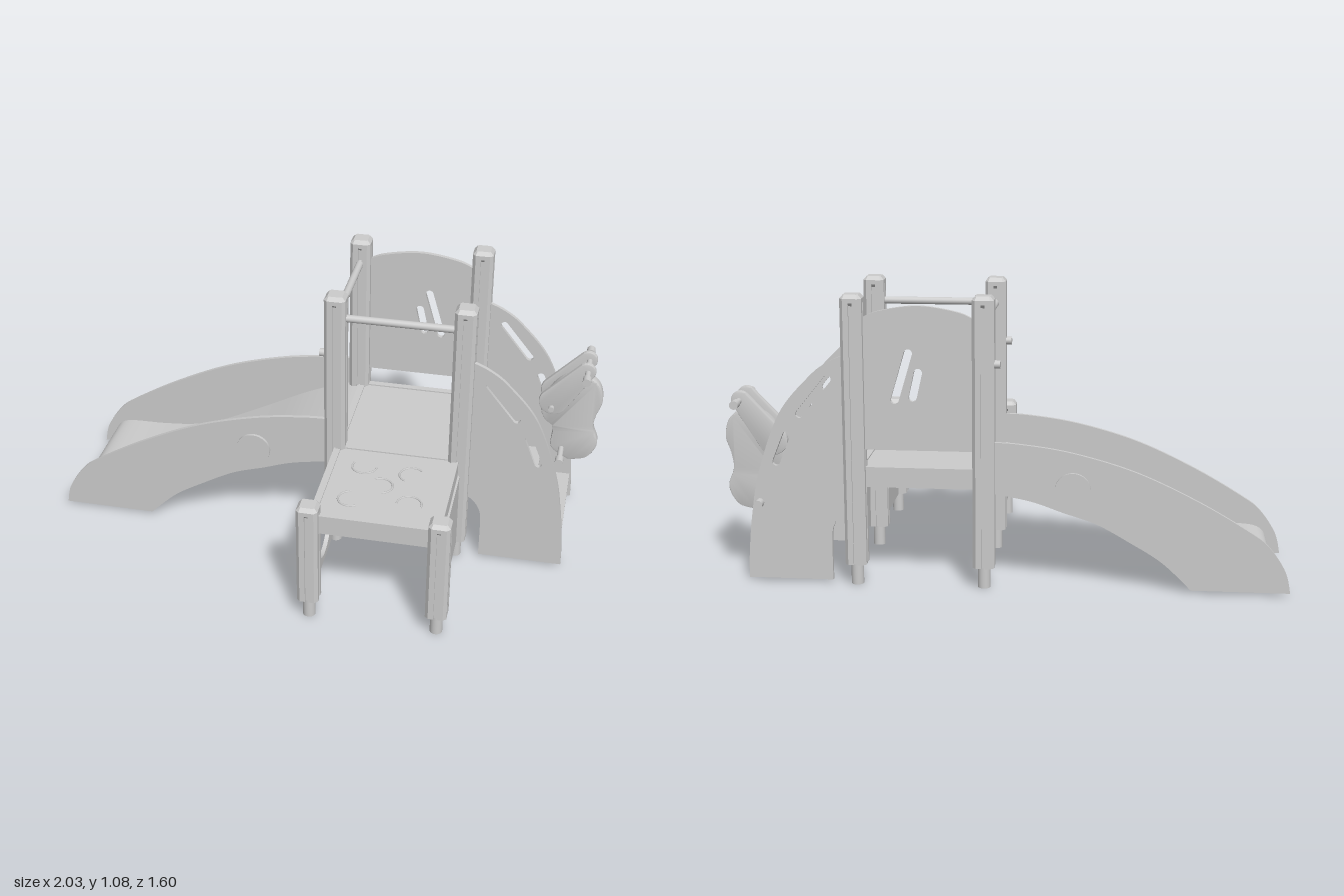
import * as THREE from 'three';
import { toCreasedNormals } from 'three/addons/utils/BufferGeometryUtils.js';

const mat = new THREE.MeshStandardMaterial({ color: 0xcccccc });
const H = 0.234; // half of the post spacing
const V = (p) => new THREE.Vector2(p[0], p[1]);

function add(parent, name, geo, x = 0, y = 0, z = 0) {
  const m = new THREE.Mesh(geo, mat);
  m.name = name;
  m.position.set(x, y, z);
  parent.add(m);
  return m;
}
const box = (p, name, w, h, d, x, y, z) => add(p, name, new THREE.BoxGeometry(w, h, d), x, y, z);

// Flat board in the XY plane, centred on its thickness
function board(shape, t, bevel = 0) {
  const g = new THREE.ExtrudeGeometry(shape, {
    depth: t - 2 * bevel, bevelEnabled: bevel > 0, bevelSize: bevel, bevelThickness: bevel,
    bevelOffset: -bevel, bevelSegments: 2, curveSegments: 20,
  });
  g.translate(0, 0, -t / 2 + bevel);
  return toCreasedNormals(g, 0.6);
}

// Capsule outline between two points, used for slots and arms
function capsule(Type, x1, y1, r1, x2, y2, r2 = r1) {
  const a = Math.atan2(y2 - y1, x2 - x1), q = Math.PI / 2;
  const s = new Type();
  s.absarc(x2, y2, r2, a - q, a + q);
  s.absarc(x1, y1, r1, a + q, a + 3 * q);
  s.closePath();
  return s;
}

// Round bar between two points
function bar(parent, name, a, b, r) {
  const A = new THREE.Vector3(...a), B = new THREE.Vector3(...b), d = B.clone().sub(A);
  const m = add(parent, name, new THREE.CylinderGeometry(r, r, d.length(), 16));
  m.position.copy(A).add(B).multiplyScalar(0.5);
  m.quaternion.setFromUnitVectors(new THREE.Vector3(0, 1, 0), d.normalize());
}

// Square post with chamfered corners, grooved faces, bevelled cap and round foot
function post(parent, x, z, top) {
  const g = new THREE.Group();
  g.name = 'post';
  g.position.set(x, 0, z);
  const s = 0.039, c = 0.012, w = 0.007, d = 0.009, pts = [];
  for (let i = 0; i < 4; i++) {
    for (const p of [[s, -s + c], [s, -w], [s - d, -w], [s - d, w], [s, w], [s, s - c]]) {
      pts.push(V(p).rotateAround(new THREE.Vector2(), i * Math.PI / 2));
    }
  }
  const shaft = new THREE.ExtrudeGeometry(new THREE.Shape(pts), { depth: top - 0.11, bevelEnabled: false });
  shaft.rotateX(-Math.PI / 2);
  add(g, 'postShaft', shaft, 0, 0.08, 0);
  const capShape = new THREE.Shape([[s, -s + c], [s, s - c], [s - c, s], [c - s, s], [-s, s - c], [-s, c - s], [c - s, -s], [s - c, -s]].map(V));
  const cap = new THREE.ExtrudeGeometry(capShape, { depth: 0.016, bevelSize: 0.012, bevelThickness: 0.014, bevelOffset: -0.012, bevelSegments: 1 });
  cap.rotateX(-Math.PI / 2);
  add(g, 'postCap', cap, 0, top - 0.03, 0);
  add(g, 'postFoot', new THREE.CylinderGeometry(0.023, 0.023, 0.1, 20), 0, 0.05, 0);
  parent.add(g);
}

// Deck with beams on its four sides
function deck(parent, cz) {
  const g = new THREE.Group();
  g.name = 'deck';
  g.position.z = cz;
  box(g, 'deckFloor', 0.44, 0.025, 0.44, 0, 0.425, 0);
  for (const s of [-1, 1]) {
    box(g, 'deckBeam', 0.4, 0.075, 0.025, 0, 0.405, s * 0.222);
    box(g, 'deckBeam', 0.025, 0.075, 0.4, s * 0.222, 0.405, 0);
  }
  parent.add(g);
}

function slide(parent) {
  const g = new THREE.Group();
  g.name = 'slide';
  // Curved side panels with a round cover disc
  const s = new THREE.Shape();
  s.moveTo(-0.985, 0.01);
  s.lineTo(-1.34, 0.01);
  s.splineThru([[-1.32, 0.09], [-1.26, 0.18], [-1.19, 0.235], [-1, 0.345], [-0.777, 0.447], [-0.55, 0.512], [-0.36, 0.54], [-0.235, 0.545]].map(V));
  s.lineTo(-0.235, 0.36);
  s.splineThru([[-0.4, 0.33], [-0.52, 0.29], [-0.64, 0.25], [-0.76, 0.185], [-0.88, 0.11], [-0.985, 0.01]].map(V));
  const side = board(s, 0.014);
  const disc = new THREE.CylinderGeometry(0.065, 0.065, 0.012, 32).rotateX(Math.PI / 2);
  for (const k of [-1, 1]) {
    add(g, 'slideSide', side, 0, 0, k * 0.23);
    add(g, 'slideDisc', disc, -0.555, 0.375, k * 0.242);
  }
  // Bed: a curve thickened along its normals
  const curve = new THREE.SplineCurve([[-0.22, 0.437], [-0.3, 0.425], [-0.45, 0.365], [-0.6, 0.288], [-0.75, 0.212], [-0.85, 0.168], [-0.95, 0.142], [-1.08, 0.13], [-1.22, 0.125], [-1.272, 0.1], [-1.288, 0.055]].map(V));
  const top = [], under = [];
  for (let i = 0; i <= 50; i++) {
    const p = curve.getPoint(i / 50), t = curve.getTangent(i / 50);
    top.push(p);
    under.unshift(new THREE.Vector2(p.x - t.y * 0.012, p.y + t.x * 0.012));
  }
  add(g, 'slideBed', board(new THREE.Shape([...top, ...under]), 0.45));
  parent.add(g);
}

function stairs(parent) {
  const g = new THREE.Group();
  g.name = 'stairs';
  // Arched side panels with slots
  const s = new THREE.Shape();
  s.moveTo(0.325, 0.01);
  s.lineTo(0.64, 0.01);
  s.splineThru([[0.637, 0.1], [0.622, 0.25], [0.59, 0.42], [0.51, 0.635], [0.4, 0.77], [0.33, 0.825], [0.265, 0.855]].map(V));
  s.lineTo(0.25, 0.855);
  s.lineTo(0.25, 0.28);
  s.splineThru([[0.285, 0.265], [0.315, 0.225], [0.325, 0.17], [0.325, 0.01]].map(V));
  s.holes.push(capsule(THREE.Path, 0.33, 0.765, 0.014, 0.435, 0.635), capsule(THREE.Path, 0.485, 0.555, 0.014, 0.525, 0.455));
  const side = board(s, 0.016);
  for (const k of [-1, 1]) add(g, 'stairSide', side, 0, 0, k * 0.23);
  // Treads
  for (const [x0, x1, y] of [[0.45, 0.63, 0.11], [0.35, 0.51, 0.22], [0.24, 0.39, 0.33]]) {
    box(g, 'stairTread', x1 - x0, 0.014, 0.445, (x0 + x1) / 2, y, 0);
  }
  parent.add(g);
}

// Wavy play figure with two arms, a handlebar and foot pegs
function rider(parent) {
  const g = new THREE.Group();
  g.name = 'playFigure';
  g.position.z = -0.145;
  const s = new THREE.Shape();
  s.moveTo(0.62, 0.25);
  s.splineThru([[0.69, 0.27], [0.725, 0.335], [0.705, 0.405], [0.71, 0.46], [0.73, 0.53], [0.71, 0.6], [0.65, 0.635], [0.58, 0.615],
    [0.53, 0.56], [0.5, 0.48], [0.515, 0.425], [0.55, 0.39], [0.55, 0.3], [0.62, 0.25]].map(V));
  add(g, 'figureBody', board(s, 0.045, 0.006));
  const arm = board(capsule(THREE.Shape, 0.545, 0.525, 0.055, 0.66, 0.672, 0.035), 0.02, 0.004);
  for (const k of [-1, 1]) add(g, 'figureArm', arm, 0, 0, k * 0.045);
  bar(g, 'handlebar', [0.665, 0.67, -0.125], [0.665, 0.67, 0.125], 0.011);
  bar(g, 'footPeg', [0.59, 0.3, -0.125], [0.59, 0.3, 0.125], 0.011);
  bar(g, 'figureBolt', [0.54, 0.5, -0.09], [0.54, 0.5, 0.07], 0.011);
  for (const k of [-1, 1]) {
    bar(g, 'handlebarEnd', [0.665, 0.67, k * 0.095], [0.665, 0.67, k * 0.13], 0.016);
    bar(g, 'footPegEnd', [0.59, 0.3, k * 0.095], [0.59, 0.3, k * 0.13], 0.016);
  }
  parent.add(g);
}

export function createModel() {
  const root = new THREE.Group();
  root.name = 'playground';
  const g = new THREE.Group();
  g.name = 'playStructure';
  g.position.set(0.296, 0, 0.02);
  g.rotation.y = -0.471;
  root.add(g);

  for (const x of [-H, H]) {
    for (const z of [-H, H]) post(g, x, z, 1.075);
    post(g, x, 3 * H, 0.49);
  }
  deck(g, 0);
  deck(g, 2 * H);

  // Raised pattern on the low deck
  for (const [x, z, a] of [[-0.1, 0.36, 0], [0.08, 0.38, 2], [-0.02, 0.47, 4], [-0.11, 0.57, 1], [0.1, 0.56, 3]]) {
    const ring = new THREE.TorusGeometry(0.045, 0.004, 6, 24, 3.6).rotateZ(a).rotateX(Math.PI / 2);
    add(g, 'deckPattern', ring, x, 0.438, z);
  }

  // Rails, and grips on the slide side
  bar(g, 'frontRail', [-H, 0.98, H], [H, 0.98, H], 0.014);
  bar(g, 'slideRail', [-H, 0.98, -H], [-H, 0.98, H], 0.014);
  for (const z of [-H, H]) bar(g, 'grip', [-H, 0.83, z], [-H - 0.06, 0.83, z], 0.015);

  // Arched back panel with two slots
  const back = new THREE.Shape();
  back.moveTo(-0.21, 0.51);
  back.lineTo(0.21, 0.51);
  back.lineTo(0.21, 0.985);
  back.splineThru([[0.14, 1.015], [0, 1.035], [-0.14, 1.015], [-0.21, 0.985]].map(V));
  back.holes.push(capsule(THREE.Path, 0.085, 0.695, 0.015, 0.035, 0.865), capsule(THREE.Path, 0.02, 0.705, 0.015, 0, 0.795));
  add(g, 'backPanel', board(back, 0.016), 0, 0, -H);

  // Low panels: one solid, one with a round hole
  box(g, 'solidPanel', 0.016, 0.3, 0.42, H, 0.23, 2 * H);
  const holed = new THREE.Shape([[-0.21, 0.08], [0.21, 0.08], [0.21, 0.38], [-0.21, 0.38]].map(V));
  holed.holes.push(new THREE.Path().absarc(0, 0.228, 0.123, 0, Math.PI * 2));
  add(g, 'crawlPanel', board(holed, 0.016), -H, 0, 2 * H).rotation.y = Math.PI / 2;

  slide(g);
  stairs(g);
  rider(g);
  return root;
}
